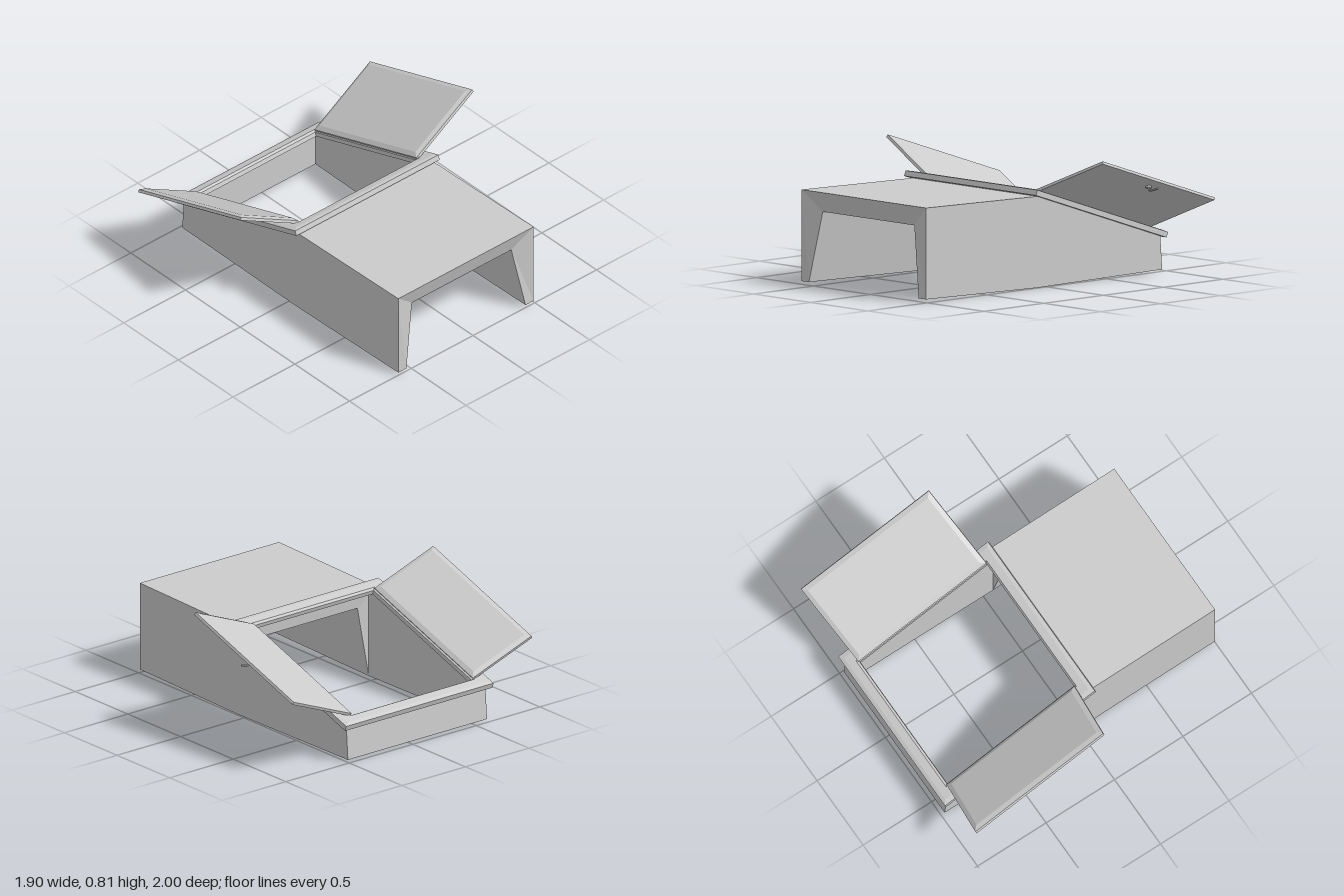
import * as THREE from 'three';

const material = new THREE.MeshStandardMaterial({ color: 0xcccccc, flatShading: true });

// Joins equal polygons section by section; closed links the last to the first, otherwise ends are capped.
function loft(sections, closed = false) {
  const pos = [];
  const tri = (a, b, c) => pos.push(...a, ...b, ...c);
  const n = sections[0].length;
  const count = sections.length;
  for (let s = 0; s < (closed ? count : count - 1); s++) {
    const A = sections[s], B = sections[(s + 1) % count];
    for (let i = 0; i < n; i++) {
      const j = (i + 1) % n;
      tri(A[i], A[j], B[j]);
      tri(A[i], B[j], B[i]);
    }
  }
  if (!closed) {
    const A = sections[0], B = sections[count - 1];
    for (let i = 1; i < n - 1; i++) {
      tri(A[0], A[i + 1], A[i]);
      tri(B[0], B[i], B[i + 1]);
    }
  }
  // Turn the faces outward if the enclosed volume is negative
  let volume = 0;
  const v = i => new THREE.Vector3(pos[i], pos[i + 1], pos[i + 2]);
  for (let i = 0; i < pos.length; i += 9) volume += v(i).dot(v(i + 3).cross(v(i + 6)));
  if (volume < 0) {
    for (let i = 0; i < pos.length; i += 9) {
      for (let k = 3; k < 6; k++) [pos[i + k], pos[i + k + 3]] = [pos[i + k + 3], pos[i + k]];
    }
  }
  const g = new THREE.BufferGeometry();
  g.setAttribute('position', new THREE.Float32BufferAttribute(pos, 3));
  g.computeVertexNormals();
  return g;
}

function add(parent, name, geometry) {
  const mesh = new THREE.Mesh(geometry, material);
  mesh.name = name;
  parent.add(mesh);
  return mesh;
}

const rect = (x0, x1, z0, z1, y) => [[x0, y, z0], [x1, y, z0], [x1, y, z1], [x0, y, z1]];

// Chamfered door leaf whose hinge edge lies on its local z axis
function door(name, side, width, angle) {
  const group = new THREE.Group();
  group.name = name;
  group.rotation.z = side * angle;
  const leaf = (inset, y) => {
    const a = side * inset, b = side * (width - inset);
    return rect(Math.min(a, b), Math.max(a, b), -0.492 + inset, 0.492 - inset, y);
  };
  add(group, name + 'Leaf', loft([leaf(0, -0.03), leaf(0, -0.012), leaf(0.03, 0)]));
  return group;
}

export function createModel() {
  const model = new THREE.Group();
  model.name = 'cellarHatch';
  const L = -0.605, R = 0.49, thick = 0.065;

  // Tunnel: two legs and a ceiling, mitred at both ends
  const leg = (xo, xi, yFront, yBack, yInF, yInB, zf, zb) =>
    [[xo, yFront, 1], [xo, yBack, 0.07], [xi, yInB, zb], [xi, yInF, zf]];
  add(model, 'tunnel', loft([
    leg(L, L + thick, 0.02, 0, 0.02, 0, 1, 0.07),
    leg(L, L + 0.145, 0.58, 0.56, 0.455, 0.455, 0.96, 0.08),
    leg(R, R - 0.145, 0.58, 0.56, 0.455, 0.455, 0.96, 0.08),
    leg(R, R - thick, 0.02, 0, 0.02, 0, 1, 0.07),
  ]));

  // Hatch walls: side, back, side, with a sloping top edge
  const wall = (xo, xi, zBottom, zTop, zIn, y0, y1, y1In) =>
    [[xo, y0, zBottom], [xo, y1, zTop], [xi, y1In, zIn], [xi, y0, zIn]];
  add(model, 'hatchWalls', loft([
    wall(L, L + thick, 0.07, 0.07, 0.07, 0, 0.56, 0.56),
    wall(L, L + thick, -0.975, -0.96, -0.92, 0.01, 0.217, 0.23),
    wall(R, R - thick, -0.975, -0.96, -0.92, 0.01, 0.217, 0.23),
    wall(R, R - thick, 0.07, 0.07, 0.07, 0, 0.56, 0.56),
  ]));

  // Sloping assembly: frame and doors share one tilted plane
  const slope = new THREE.Group();
  slope.name = 'slopingHatch';
  slope.position.set(-0.06, 0.428, -0.451);
  slope.rotation.x = -Math.atan(1 / 3);
  model.add(slope);

  // Frame: one bevelled profile carried round four mitred corners
  const profile = [[0, -0.04], [0, -0.006], [0.03, 0], [0.09, 0], [0.106, -0.012], [0.106, -0.04]];
  const corners = [[-1, 1], [1, 1], [1, -1], [-1, -1]];
  add(slope, 'frame', loft(corners.map(([sx, sz]) =>
    profile.map(([d, y]) => [sx * (0.58 - d), y, sz * (0.576 - d * 0.82)])), true));

  // Open doors
  const rightDoor = door('rightDoor', -1, 0.457, 0.46);
  rightDoor.position.set(-0.475, 0.013, 0);
  const leftDoor = door('leftDoor', 1, 0.565, 0.422);
  leftDoor.position.set(0.47, 0.015, 0);
  slope.add(rightDoor, leftDoor);

  // Lever handle on the outer face of the left door
  const rose = add(leftDoor, 'handleRose', new THREE.CylinderGeometry(0.018, 0.018, 0.012, 12));
  rose.position.set(0.48, -0.035, 0);
  const path = new THREE.CatmullRomCurve3([
    [0.48, -0.03, 0], [0.482, -0.055, 0], [0.505, -0.066, 0.004], [0.55, -0.067, -0.004],
  ].map(p => new THREE.Vector3(...p)));
  add(leftDoor, 'handleLever', new THREE.TubeGeometry(path, 12, 0.006, 8));
  const tip = add(leftDoor, 'handleTip', new THREE.SphereGeometry(0.007, 8, 6));
  tip.position.set(0.55, -0.067, -0.004);

  return model;
}
